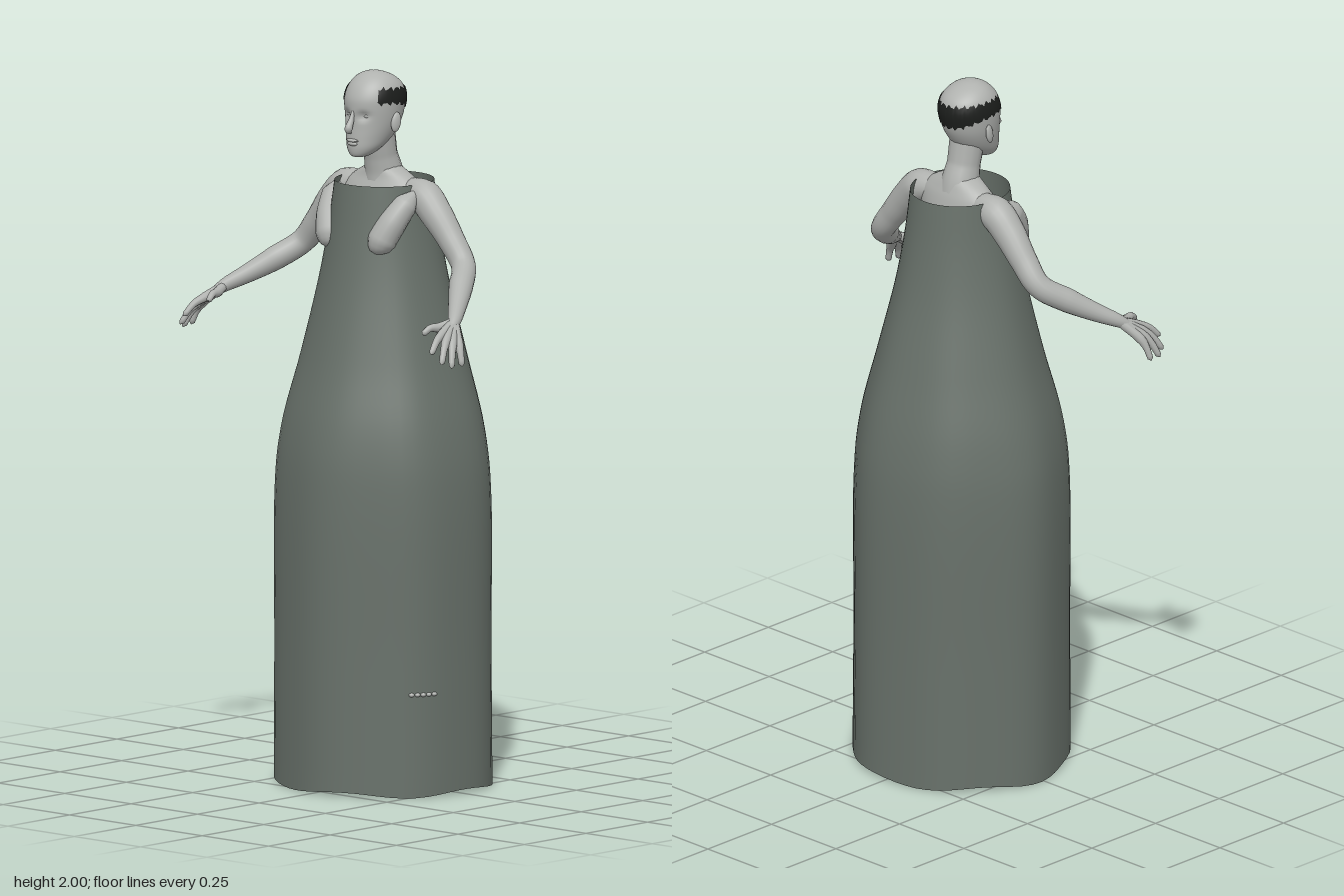
import * as THREE from 'three';
import { mergeVertices } from 'three/addons/utils/BufferGeometryUtils.js';

const skin = new THREE.MeshStandardMaterial({ color: 0xb0b2af });
skin.name = 'pale skin';
const cloth = new THREE.MeshStandardMaterial({ color: 0x68716a, side: THREE.DoubleSide });
cloth.name = 'grey green cloth';
const black = new THREE.MeshStandardMaterial({ color: 0x1c1e1c, side: THREE.DoubleSide });
black.name = 'black hair';

// Welds seams and smooths the normals.
function smooth(geo) {
  geo.deleteAttribute('uv');
  geo.deleteAttribute('normal');
  const g = mergeVertices(geo, 1e-5);
  g.computeVertexNormals();
  return g;
}

// Surface from fn(u, v) -> Vector3, u running around and v running up.
function grid(fn, nu, nv) {
  const pos = [], idx = [];
  for (let j = 0; j <= nv; j++)
    for (let i = 0; i <= nu; i++) pos.push(...fn(i / nu, j / nv).toArray());
  for (let j = 0; j < nv; j++)
    for (let i = 0; i < nu; i++) {
      const a = j * (nu + 1) + i, c = a + nu + 1;
      idx.push(a, a + 1, c + 1, a, c + 1, c);
    }
  const g = new THREE.BufferGeometry();
  g.setAttribute('position', new THREE.Float32BufferAttribute(pos, 3));
  g.setIndex(idx);
  return smooth(g);
}

// Oval sections [y, half width, front z, back z] -> smooth body of points (angle, v).
function ovals(rows) {
  const a = new THREE.CatmullRomCurve3(rows.map(r => new THREE.Vector3(r[0], r[1], 0)));
  const b = new THREE.CatmullRomCurve3(rows.map(r => new THREE.Vector3(r[2], r[3], 0)));
  a.curveType = b.curveType = 'catmullrom';
  const point = (ang, v) => {
    const p = a.getPoint(v), q = b.getPoint(v);
    return new THREE.Vector3(p.y * Math.sin(ang), p.x,
      (q.x + q.y) / 2 + (q.x - q.y) / 2 * Math.cos(ang));
  };
  const atHeight = y => {
    let lo = 0, hi = 1;
    for (let k = 0; k < 24; k++) {
      const m = (lo + hi) / 2;
      if (a.getPoint(m).x < y) lo = m; else hi = m;
    }
    return lo;
  };
  return { point, atHeight };
}

// Tapered limb through [x, y, z, radius].
function limb(rows, n = 28, m = 14) {
  const curve = new THREE.CatmullRomCurve3(rows.map(r => new THREE.Vector3(r[0], r[1], r[2])));
  const geo = new THREE.TubeGeometry(curve, n, 1, m);
  const pos = geo.attributes.position, p = new THREE.Vector3();
  for (let i = 0; i <= n; i++) {
    const c = curve.getPointAt(i / n);
    const t = curve.getUtoTmapping(i / n) * (rows.length - 1);
    const k = Math.min(Math.floor(t), rows.length - 2);
    const r = THREE.MathUtils.lerp(rows[k][3], rows[k + 1][3], t - k);
    for (let j = 0; j <= m; j++) {
      const id = i * (m + 1) + j;
      p.fromBufferAttribute(pos, id).sub(c).multiplyScalar(r).add(c);
      pos.setXYZ(id, p.x, p.y, p.z);
    }
  }
  return smooth(geo);
}

export function createModel() {
  const model = new THREE.Group();
  model.name = 'womanInLongDress';
  const add = (name, geo, mat = skin) => {
    const mesh = new THREE.Mesh(geo, mat);
    mesh.name = name;
    model.add(mesh);
    return mesh;
  };
  const ball = (name, x, y, z, sx, sy, sz) => {
    const mesh = add(name, new THREE.SphereGeometry(1, 20, 14));
    mesh.position.set(x, y, z);
    mesh.scale.set(sx, sy, sz);
    return mesh;
  };
  const TAU = Math.PI * 2;

  // Open tubular dress with soft folds growing toward the hem
  const dress = ovals([
    [0.01, 0.311, 0.287, -0.303], [0.4, 0.309, 0.286, -0.3], [0.8, 0.309, 0.286, -0.3],
    [1.0, 0.288, 0.27, -0.283], [1.2, 0.235, 0.22, -0.238], [1.4, 0.185, 0.175, -0.19],
    [1.55, 0.155, 0.15, -0.165], [1.69, 0.135, 0.133, -0.15]]);
  const dressPoint = (ang, v) => {
    const p = dress.point(ang, v), f = Math.min(1, (1 - v) * 1.6);
    const fold = 1 + f * (0.014 * Math.sin(7 * ang + 0.6) + 0.008 * Math.cos(4 * ang));
    p.x *= fold;
    p.z *= fold;
    p.y += 0.006 * Math.sin(5 * ang) * Math.max(0, 1 - v * 8);
    return p;
  };
  add('dress', grid((u, v) => dressPoint(u * TAU, v), 56, 40), cloth);

  // Torso with hips, waist and shoulders
  const torso = ovals([
    [1.05, 0.06, 0.02, -0.06], [1.08, 0.12, 0.05, -0.085], [1.14, 0.145, 0.07, -0.1],
    [1.22, 0.138, 0.07, -0.085], [1.35, 0.105, 0.068, -0.06], [1.45, 0.115, 0.08, -0.065],
    [1.55, 0.13, 0.09, -0.075], [1.62, 0.137, 0.075, -0.08], [1.67, 0.135, 0.055, -0.072],
    [1.7, 0.105, 0.042, -0.062], [1.725, 0.06, 0.038, -0.052], [1.74, 0.03, 0.03, -0.04]]);
  add('torso', grid((u, v) => torso.point(u * TAU, v), 36, 44));
  add('neck', limb([[0, 1.66, -0.012, 0.06], [0, 1.71, -0.007, 0.054],
    [0, 1.76, 0.006, 0.047], [0, 1.84, 0.022, 0.05]]));

  // Head, with eye sockets pressed in
  const head = ovals([
    [1.764, 0.002, 0.1, 0.09], [1.769, 0.025, 0.117, 0.06], [1.79, 0.046, 0.123, 0.02],
    [1.82, 0.06, 0.122, -0.02], [1.86, 0.072, 0.119, -0.047], [1.9, 0.078, 0.121, -0.06],
    [1.93, 0.079, 0.119, -0.063], [1.96, 0.071, 0.105, -0.052], [1.983, 0.052, 0.083, -0.024],
    [1.996, 0.026, 0.058, 0.008], [2.0, 0.001, 0.035, 0.033]]);
  add('head', grid((u, v) => {
    const p = head.point(u * TAU, v);
    if (p.z > 0.05) {
      const dx = (Math.abs(p.x) - 0.03) / 0.016, dy = (p.y - 1.882) / 0.012;
      p.z -= 0.011 * Math.exp(-dx * dx - dy * dy);
    }
    return p;
  }, 64, 56));

  // Face features
  add('nose', limb([[0, 1.895, 0.118, 0.004], [0, 1.87, 0.126, 0.008],
    [0, 1.845, 0.137, 0.012], [0, 1.834, 0.129, 0.003]], 14, 12));
  ball('upperLip', 0, 1.813, 0.121, 0.021, 0.005, 0.009);
  ball('lowerLip', 0, 1.804, 0.121, 0.018, 0.006, 0.008);

  // Cropped band of hair around the sides and back, with ragged edges
  const ragged = a => 0.004 * Math.sin(a * 23) + 0.003 * Math.sin(a * 41 + 1);
  add('hairBand', grid((u, v) => {
    const a = 0.9 + u * (TAU - 1.8);
    const back = Math.pow(Math.sin(u * Math.PI), 3);
    const low = 1.917 - 0.034 * back + ragged(a);
    const high = 1.957 - 0.008 * back + ragged(a + 2);
    const p = head.point(a, head.atHeight(low + (high - low) * v));
    p.x *= 1.035;
    p.z = 0.03 + (p.z - 0.03) * 1.035;
    return p;
  }, 72, 6), black);

  for (const s of [1, -1]) {
    const side = s > 0 ? 'left' : 'right';
    const part = (name, rows, n, m) =>
      add(side + name, limb(rows.map(([x, y, z, r]) => [x * s, y, z, r]), n, m));

    ball(side + 'Eye', 0.03 * s, 1.882, 0.095, 0.012, 0.008, 0.009);
    const ear = ball(side + 'Ear', 0.078 * s, 1.862, 0.028, 0.008, 0.028, 0.015);
    ear.rotation.set(-0.2, 0.3 * -s, 0);

    // Bust, arm and hand
    part('Breast', [[0.145, 1.67, 0.02, 0.01], [0.135, 1.64, 0.05, 0.034],
      [0.117, 1.59, 0.085, 0.039], [0.097, 1.54, 0.106, 0.041],
      [0.09, 1.515, 0.11, 0.031], [0.088, 1.498, 0.11, 0.002]]);
    part('Arm', [[0.07, 1.665, -0.015, 0.035], [0.145, 1.655, -0.014, 0.049],
      [0.195, 1.61, -0.012, 0.045], [0.25, 1.545, -0.012, 0.038], [0.302, 1.482, -0.004, 0.034],
      [0.35, 1.435, 0.058, 0.034], [0.395, 1.395, 0.12, 0.026],
      [0.432, 1.365, 0.172, 0.019], [0.445, 1.35, 0.195, 0.014]], 48, 18);
    const fingers = [
      ['IndexFinger', [0.447, 1.337, 0.238], [0.467, 1.29, 0.305]],
      ['MiddleFinger', [0.464, 1.325, 0.238], [0.493, 1.262, 0.29]],
      ['RingFinger', [0.477, 1.316, 0.228], [0.507, 1.25, 0.264]],
      ['LittleFinger', [0.484, 1.312, 0.212], [0.511, 1.252, 0.226]],
      ['Thumb', [0.418, 1.35, 0.222], [0.403, 1.335, 0.272]]];
    for (const [name, k, t] of fingers) {
      const mid = k.map((c, i) => (c + t[i]) / 2);
      mid[1] += 0.008;
      const tip = k.map((c, i) => t[i] - (t[i] - c) * 0.07);
      part(name, [[0.434, 1.363, 0.175, 0.013], [...k, 0.0135].flat(),
        [...mid, 0.01], [...tip, 0.008], [...t, 0.001]], 20, 10);
    }

    // Hips, legs and feet inside the dress
    ball(side + 'Buttock', 0.066 * s, 1.14, -0.06, 0.066, 0.075, 0.062);
    part('Leg', [[0.075, 1.16, -0.01, 0.05], [0.09, 1.04, -0.01, 0.078],
      [0.125, 0.86, 0, 0.064], [0.155, 0.7, 0.005, 0.047], [0.18, 0.57, -0.01, 0.048],
      [0.205, 0.42, -0.01, 0.032], [0.215, 0.32, -0.005, 0.027], [0.217, 0.295, -0.01, 0.01]], 40, 16);
    part('Foot', [[0.207, 0.3, -0.03, 0.005], [0.213, 0.31, -0.01, 0.027],
      [0.225, 0.312, 0.04, 0.03], [0.238, 0.3, 0.09, 0.022], [0.246, 0.293, 0.115, 0.004]], 20, 14);
  }

  // Toe tips just breaking through the cloth
  for (let i = 0; i < 5; i++) {
    const p = dressPoint(1.2 - i * 0.055, dress.atHeight(0.293));
    ball('leftToe' + (i + 1), p.x - 0.002, 0.293, p.z, 0.008, 0.006, 0.008);
  }
  return model;
}
